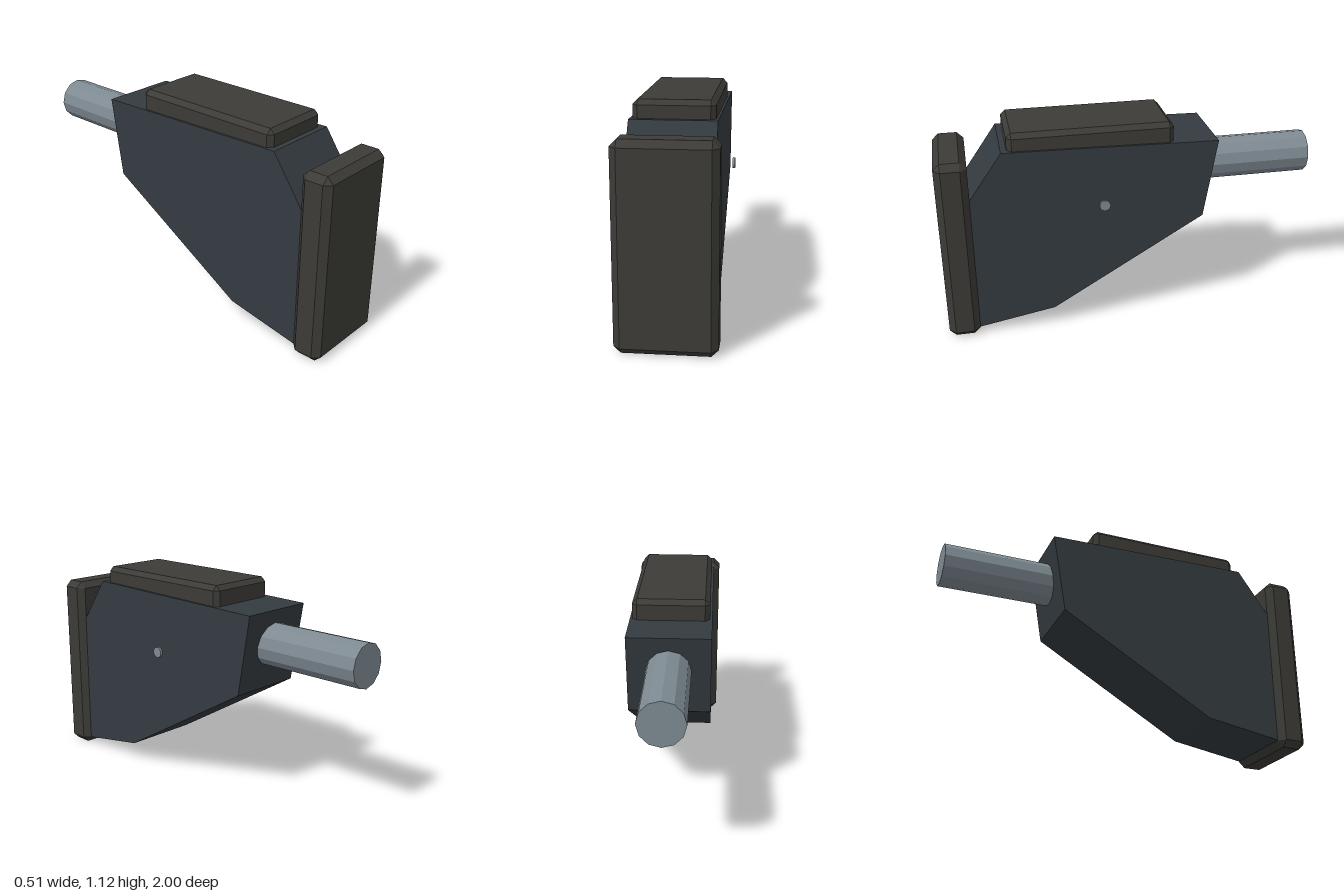
import * as THREE from 'three';
import { ConvexGeometry } from 'three/addons/geometries/ConvexGeometry.js';

const CX = -0.0125; // shared mid-plane of all the main parts

const material = (color) => new THREE.MeshStandardMaterial({ color, flatShading: true });

// Box with every edge chamfered by c, given by its min and max corners
function chamferedBox(min, max, c) {
  const mid = min.map((v, i) => (v + max[i]) / 2);
  const half = min.map((v, i) => (max[i] - v) / 2);
  const points = [];
  for (const sx of [-1, 1]) for (const sy of [-1, 1]) for (const sz of [-1, 1]) {
    const sign = [sx, sy, sz];
    for (let full = 0; full < 3; full++) {
      points.push(new THREE.Vector3(...sign.map((s, i) => mid[i] + s * (half[i] - (i === full ? 0 : c)))));
    }
  }
  return new ConvexGeometry(points);
}

export function createModel() {
  const model = new THREE.Group();
  const padMaterial = material(0x3c3b37);
  const bodyMaterial = material(0x343b40);
  const metalMaterial = material(0x7e8a92);

  const add = (name, geometry, mat) => {
    const mesh = new THREE.Mesh(geometry, mat);
    mesh.name = name;
    model.add(mesh);
    return mesh;
  };

  // Upright pad at the front and flat pad on top
  add('frontPad', chamferedBox([-0.255, 0, 0.835], [0.23, 1, 1], 0.034), padMaterial);
  add('topPad', chamferedBox([-0.21, 0.96, -0.22], [0.185, 1.12, 0.635], 0.025), padMaterial);

  // Body: side profile as (z, y), extruded across the width
  const width = 0.419;
  const profile = [
    [0.838, 0.036], [0.838, 0.785], [0.665, 1.032],
    [-0.453, 1.01], [-0.382, 0.587], [0.43, 0.107],
  ].map(([z, y]) => new THREE.Vector2(-z, y));
  const body = new THREE.ExtrudeGeometry(new THREE.Shape(profile), { depth: width, bevelEnabled: false });
  body.translate(0, 0, -width / 2).rotateY(Math.PI / 2).translate(CX, 0, 0);
  add('body', body, bodyMaterial);

  // Round rod out of the back
  const rod = new THREE.CylinderGeometry(0.113, 0.113, 0.65, 12).rotateX(Math.PI / 2);
  add('rearRod', rod, metalMaterial).position.set(CX, 0.828, -0.675);

  // Small pin head standing just off the left side
  const pin = new THREE.CylinderGeometry(0.029, 0.029, 0.013, 12).rotateZ(Math.PI / 2);
  add('sidePin', pin, metalMaterial).position.set(0.2455, 0.721, 0.156);

  return model;
}
